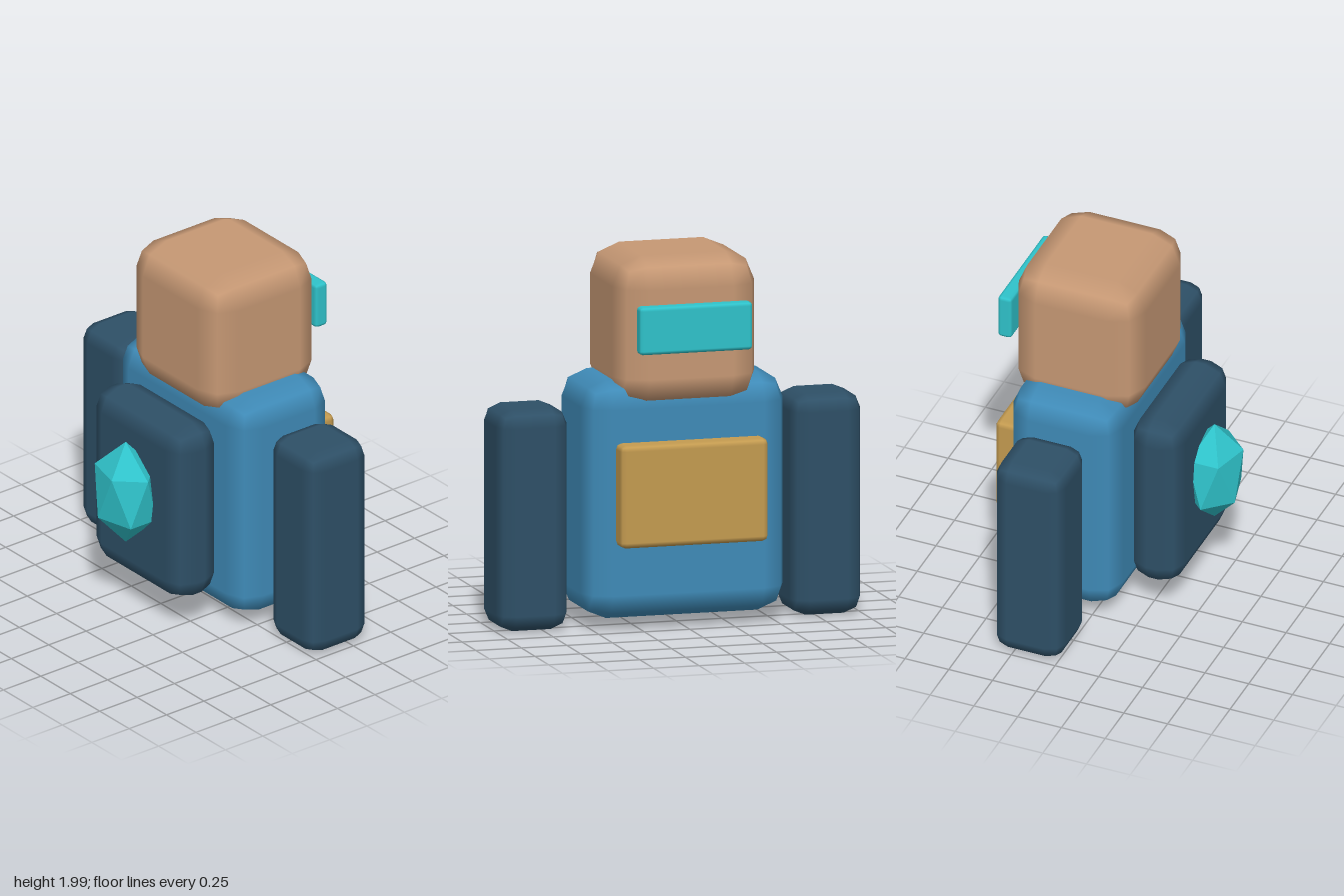
import * as THREE from 'three';
import { RoundedBoxGeometry } from 'three/addons/geometries/RoundedBoxGeometry.js';

function material(name, color) {
  const m = new THREE.MeshStandardMaterial({ color });
  m.name = name;
  return m;
}

export function createModel() {
  const clay = material('clay', 0xc69874);
  const blue = material('blue', 0x3f8bb8);
  const navy = material('navy', 0x2e5067);
  const gold = material('gold', 0xc49b50);
  const cyan = material('cyan', 0x2fc3cb);

  const model = new THREE.Group();
  model.name = 'blockFigure';

  // Chamfered block given by its min and max corners
  function block(name, mat, [x0, y0, z0], [x1, y1, z1], bevel) {
    const geometry = new RoundedBoxGeometry(x1 - x0, y1 - y0, z1 - z0, 1, bevel);
    const mesh = new THREE.Mesh(geometry, mat);
    mesh.name = name;
    mesh.position.set((x0 + x1) / 2, (y0 + y1) / 2, (z0 + z1) / 2);
    model.add(mesh);
  }

  // Body and head
  block('torso', blue, [-0.555, 0.055, -0.485], [0.555, 1.33, 0.14], 0.14);
  block('head', clay, [-0.39, 1.19, -0.535], [0.39, 1.99, 0.19], 0.16);
  block('chestBlock', navy, [-0.39, 0.185, 0.14], [0.39, 1.2, 0.435], 0.12);

  // Arms
  block('leftArm', navy, [0.61, 0, -0.37], [1, 1.185, 0.025], 0.09);
  block('rightArm', navy, [-1, 0, -0.37], [-0.61, 1.185, 0.025], 0.09);

  // Plates at the rear
  block('backPlate', gold, [-0.405, 0.465, -0.6], [0.405, 1.015, -0.47], 0.03);
  block('visor', cyan, [-0.31, 1.5, -0.625], [0.31, 1.755, -0.545], 0.02);

  // Faceted gem, turned so that one vertex points straight up
  const golden = (1 + Math.sqrt(5)) / 2;
  const gemShape = new THREE.IcosahedronGeometry(1, 0);
  gemShape.rotateZ(-Math.atan(1 / golden));
  gemShape.scale(0.212, 0.297, 0.165);
  gemShape.computeVertexNormals();
  const gem = new THREE.Mesh(gemShape, cyan);
  gem.name = 'chestGem';
  gem.position.set(0, 0.742, 0.485);
  model.add(gem);

  return model;
}
